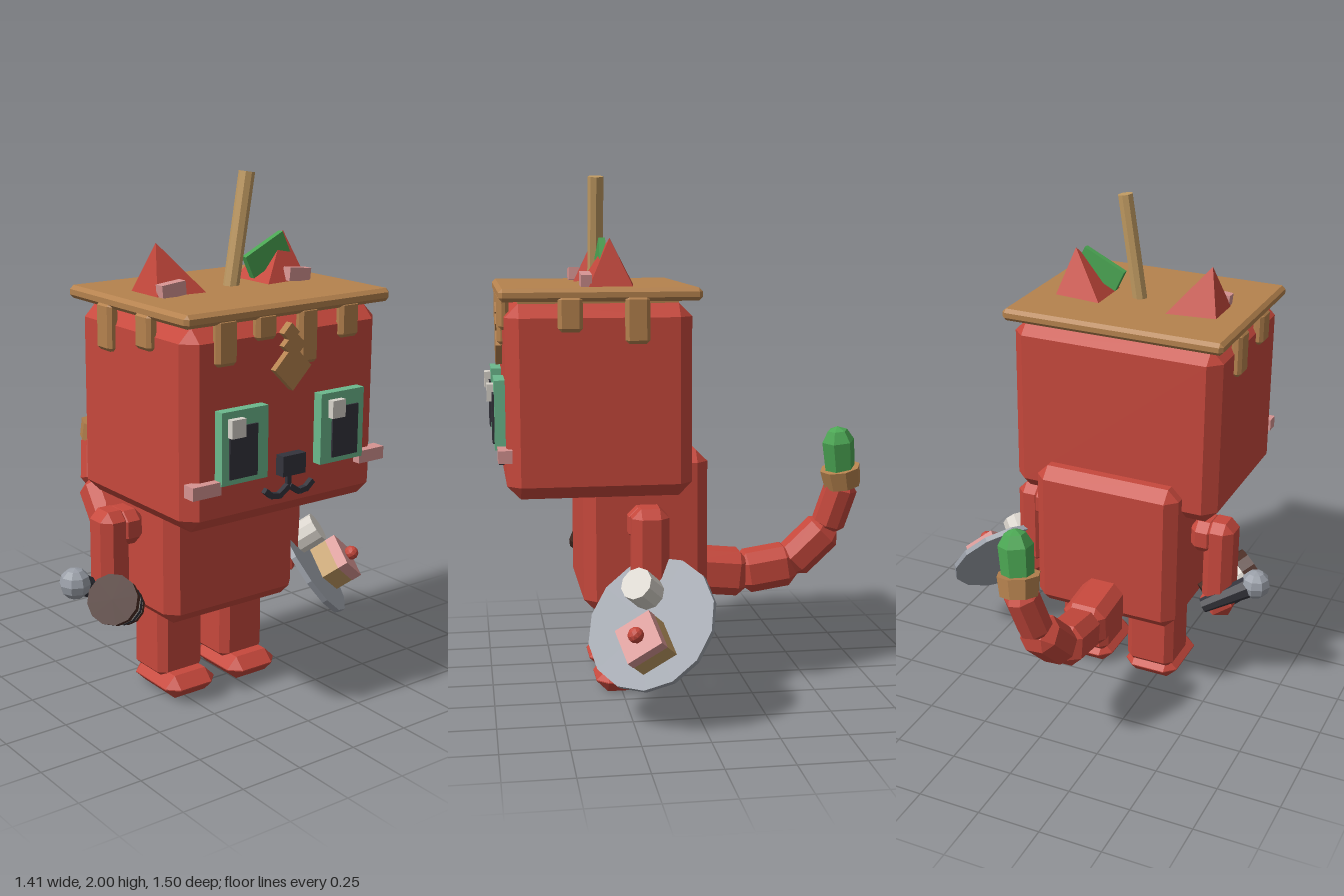
import * as THREE from 'three';
import { ConvexGeometry } from 'three/addons/geometries/ConvexGeometry.js';

const mat = (name, color) => {
  const m = new THREE.MeshStandardMaterial({ color });
  m.name = name;
  m.flatShading = true;
  return m;
};
const V = (x, y, z) => new THREE.Vector3(x, y, z);
const UP = V(0, 1, 0);
const CX = -0.075; // symmetry plane of the body

export function createModel() {
  const red = mat('red', 0xc6483c), brown = mat('brown', 0xb5824e), tan = mat('tan', 0xc09a62);
  const green = mat('leafGreen', 0x4ba653), mint = mat('mint', 0x6cb98d), dark = mat('charcoal', 0x34343c);
  const pink = mat('pink', 0xd69492), white = mat('offWhite', 0xd8d3cb), grey = mat('grey', 0x9a9fa8);
  const cocoa = mat('darkBrown', 0x4a2d25);
  const model = new THREE.Group();
  model.name = 'boxCat';

  const add = (name, geo, material, x = 0, y = 0, z = 0, parent = model) => {
    const m = new THREE.Mesh(geo, material);
    m.name = name;
    m.position.set(x, y, z);
    parent.add(m);
    return m;
  };
  // box with chamfered edges, centred at the origin
  const chamfer = (w, h, d, c) => {
    const a = w / 2, b = h / 2, e = d / 2, pts = [];
    for (const i of [-1, 1]) for (const j of [-1, 1]) for (const k of [-1, 1]) {
      pts.push(V(i * a, j * (b - c), k * (e - c)), V(i * (a - c), j * b, k * (e - c)), V(i * (a - c), j * (b - c), k * e));
    }
    return new ConvexGeometry(pts);
  };
  // box given by its limits
  const block = (name, m, x0, x1, y0, y1, z0, z1, c = 0) => {
    const w = x1 - x0, h = y1 - y0, d = z1 - z0;
    const g = c ? chamfer(w, h, d, c) : new THREE.BoxGeometry(w, h, d);
    return add(name, g, m, (x0 + x1) / 2, (y0 + y1) / 2, (z0 + z1) / 2);
  };
  // stand a part made along y between two points
  const between = (name, m, a, b, make) => {
    const dir = b.clone().sub(a), mid = a.clone().add(b).multiplyScalar(0.5);
    const mesh = add(name, make(dir.length()), m, mid.x, mid.y, mid.z);
    mesh.quaternion.setFromUnitVectors(UP, dir.normalize());
    return mesh;
  };

  // head, lid and body
  block('head', red, -0.51, 0.36, 0.81, 1.53, 0, 0.69, 0.05);
  block('lid', brown, -0.53, 0.38, 1.54, 1.588, -0.03, 0.712, 0.014);
  block('lidUnderside', brown, -0.46, 0.31, 1.52, 1.55, 0.05, 0.64);
  block('body', red, -0.38, 0.23, 0.34, 0.96, -0.08, 0.40, 0.045);

  // drips under the lid
  for (const [x0, x1, y] of [[-0.4, -0.31, 1.395], [-0.23, -0.14, 1.465], [-0.04, 0.045, 1.36], [0.145, 0.235, 1.43]])
    block('frontDrip', brown, x0, x1, y, 1.56, 0.67, 0.71, 0.013);
  for (const s of [-1, 1])
    for (const [z0, z1, y] of [[0.41, 0.5, 1.43], [0.165, 0.255, 1.385]]) {
      const x = CX + s * 0.44;
      block('sideDrip', brown, x - 0.022, x + 0.022, y, 1.56, z0, z1, 0.013);
    }

  // diamond ornament on the forehead
  for (const [x, y, s] of [[-0.075, 1.355, 0.115], [-0.07, 1.435, 0.07], [-0.085, 1.48, 0.05]])
    add('foreheadDiamond', new THREE.BoxGeometry(s, s, 0.03), brown, x, y, 0.7).rotation.z = Math.PI / 4;

  // eyes, with the highlights on the same side of both
  for (const x of [-0.295, 0.145]) {
    block('eyeFrame', mint, x - 0.1, x + 0.1, 0.985, 1.245, 0.68, 0.73);
    const p = x < 0 ? x - 0.01 : x + 0.01;
    block('pupil', dark, p - 0.06, p + 0.06, 1.005, 1.19, 0.72, 0.737);
    const h = x < 0 ? x - 0.045 : x - 0.037;
    block('eyeHighlight', white, h - 0.03, h + 0.03, 1.155, 1.22, 0.72, 0.755);
  }

  // nose, mouth and cheeks
  block('nose', dark, -0.125, -0.022, 0.97, 1.045, 0.68, 0.73);
  block('mouthStem', dark, -0.084, -0.066, 0.915, 0.975, 0.68, 0.705);
  for (const s of [-1, 1]) {
    add('mouthInner', new THREE.BoxGeometry(0.055, 0.02, 0.03), dark, CX + s * 0.025, 0.908, 0.695).rotation.z = -s * 0.6;
    add('mouthMiddle', new THREE.BoxGeometry(0.04, 0.02, 0.03), dark, CX + s * 0.066, 0.898, 0.695).rotation.z = s * 0.15;
    add('mouthOuter', new THREE.BoxGeometry(0.045, 0.02, 0.03), dark, CX + s * 0.092, 0.91, 0.695).rotation.z = s * 0.7;
    block('cheek', pink, CX + s * 0.375 - 0.06, CX + s * 0.375 + 0.06, 0.953, 1.0, 0.67, 0.722);
  }

  // ears: leaning four-sided pyramids with a pink inner block
  for (const s of [-1, 1]) {
    const pts = [[0.135, 0.4], [0.34, 0.38], [0.34, 0.21], [0.135, 0.185]].map(([x, z]) => V(CX + s * x, 1.58, z));
    add('ear', new ConvexGeometry([...pts, V(CX + s * 0.288, 1.765, 0.295)]), red);
    add('innerEar', new THREE.BoxGeometry(0.1, 0.05, 0.04), pink, CX + s * 0.285, 1.612, 0.385).rotation.z = -s * 0.1;
  }

  // straw and leaf on the lid
  between('straw', tan, V(-0.055, 1.565, 0.325), V(0.016, 1.995, 0.325), l => new THREE.CylinderGeometry(0.03, 0.03, l, 8));
  add('leaf', new THREE.BoxGeometry(0.19, 0.09, 0.025), green, 0.115, 1.685, 0.32).rotation.z = 0.45;

  // legs, feet, arms and hands
  for (const s of [-1, 1]) {
    const x = CX + s * 0.149, ax = CX + s * 0.417;
    block('leg', red, x - 0.103, x + 0.103, 0.06, 0.38, 0.06, 0.265, 0.03);
    block('foot', red, x - 0.115, x + 0.115, 0, 0.092, 0.06, 0.35, 0.044);
    block('arm', red, ax - 0.062, ax + 0.062, 0.4, 0.77, 0.095, 0.235, 0.035);
    const sx = CX + s * 0.355;
    block('shoulder', red, sx - 0.06, sx + 0.06, 0.63, 0.765, 0.09, 0.24, 0.035);
    add('hand', new THREE.IcosahedronGeometry(0.082, 0), red, ax, 0.405, 0.165);
  }

  // tail of four chamfered segments, with collar and crystal tip
  const tail = [V(-0.08, 0.43, -0.02), V(-0.08, 0.405, -0.27), V(-0.08, 0.435, -0.47), V(-0.06, 0.585, -0.62), V(-0.02, 0.78, -0.675)];
  [0.18, 0.165, 0.148, 0.128].forEach((w, i) =>
    between('tailSegment', red, tail[i], tail[i + 1], l => chamfer(w, l + 0.035, w, 0.04)));
  between('tailCollar', brown, V(-0.02, 0.765, -0.675), V(-0.01, 0.84, -0.66), l => new THREE.CylinderGeometry(0.083, 0.075, l, 8));
  between('tailCrystal', green, V(-0.01, 0.81, -0.663), V(0.012, 1.012, -0.64), l =>
    new THREE.LatheGeometry([[0, -0.5], [0.06, -0.45], [0.066, 0.2], [0.04, 0.42], [0, 0.5]].map(([r, y]) => new THREE.Vector2(r, y * l)), 6));

  // tilted plate with a cup and a cake
  const plate = new THREE.Group();
  plate.name = 'plate';
  plate.position.set(0.48, 0.365, 0.178);
  const n = V(0.62, 0.57, 0.54).normalize();
  const u = V(1, -1, 0);
  u.addScaledVector(n, -u.dot(n)).normalize(); // downhill direction on the plate
  const w = u.clone().cross(n);
  plate.quaternion.setFromRotationMatrix(new THREE.Matrix4().makeBasis(u, n, w));
  model.add(plate);
  add('plateDisc', new THREE.CylinderGeometry(0.26, 0.26, 0.022, 14), grey, 0, 0, 0, plate);
  add('cup', new THREE.CylinderGeometry(0.063, 0.063, 0.11, 10), white, -0.115, 0.06, -0.01, plate);
  const cake = new THREE.Group();
  cake.name = 'cake';
  cake.position.set(0.105, 0, 0);
  cake.rotation.y = 0.25;
  plate.add(cake);
  add('sponge', new THREE.BoxGeometry(0.145, 0.08, 0.145), tan, 0, 0.048, 0, cake);
  add('icing', new THREE.BoxGeometry(0.147, 0.045, 0.147), pink, 0, 0.109, 0, cake);
  add('cherry', new THREE.IcosahedronGeometry(0.03, 1), red, 0, 0.15, 0, cake);

  // banded tumbler and microphone in the other hand
  const a = V(-0.585, 0.485, 0.325), b = V(-0.435, 0.375, 0.185);
  const at = t => a.clone().lerp(b, t);
  for (const [name, m, t0, t1, r] of [['tumblerLid', cocoa, 0, 0.25, 0.095], ['tumblerBand', white, 0.25, 0.48, 0.086],
    ['tumblerBody', dark, 0.48, 0.7, 0.083], ['tumblerBand', white, 0.7, 0.78, 0.08], ['tumblerBase', cocoa, 0.78, 1, 0.076]])
    between(name, m, at(t0), at(t1), l => new THREE.CylinderGeometry(r * 0.97, r, l, 12));
  between('microphoneHandle', dark, V(-0.45, 0.4, 0.09), V(-0.625, 0.5, 0.158), l => new THREE.CylinderGeometry(0.045, 0.03, l, 8));
  add('microphoneHead', new THREE.SphereGeometry(0.06, 8, 6), grey, -0.645, 0.51, 0.165);

  return model;
}
